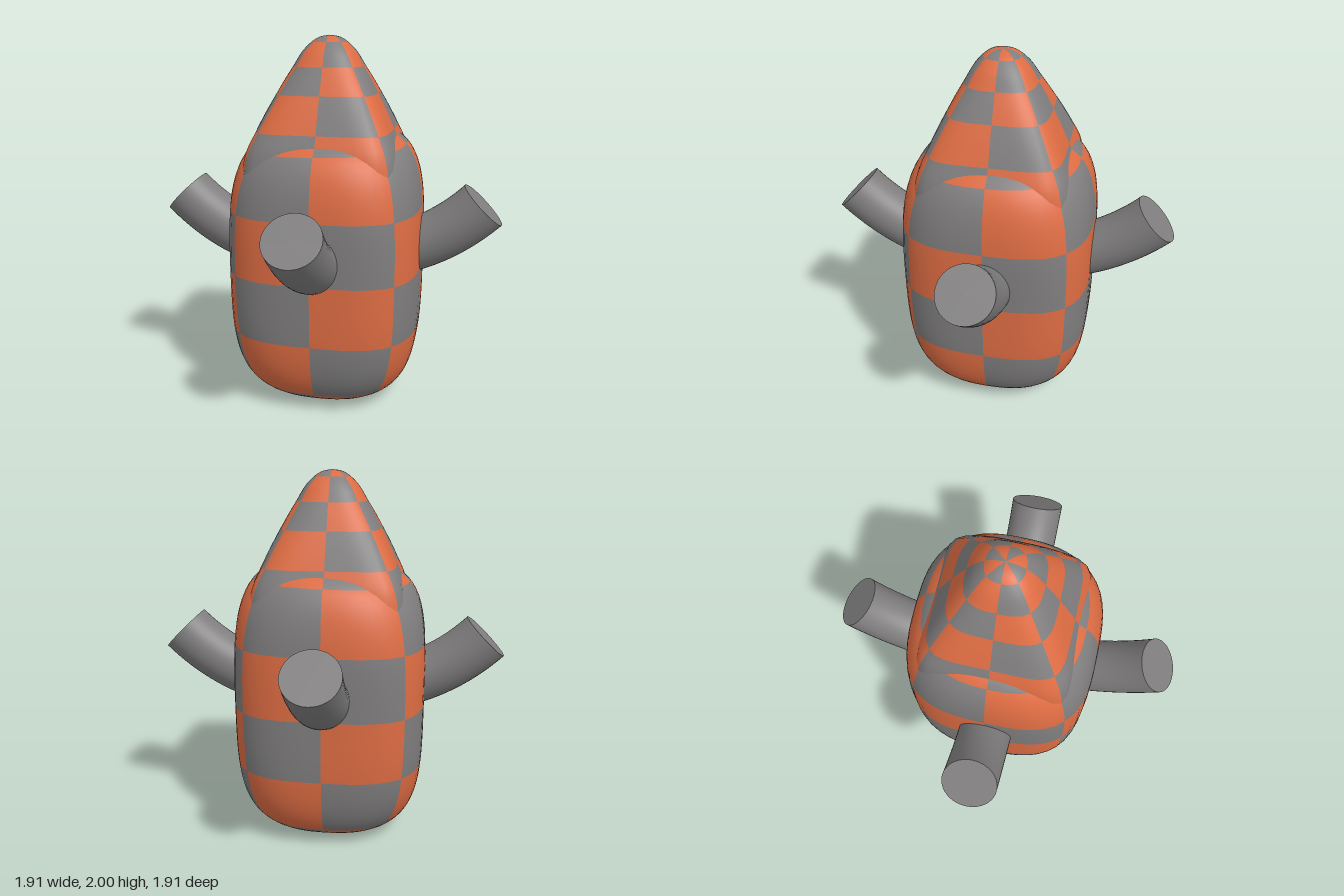
import * as THREE from 'three';

const gray = new THREE.MeshStandardMaterial({ color: 0x7f7d7e });
gray.name = 'gray';
const orange = new THREE.MeshStandardMaterial({ color: 0xdd6c43 });
orange.name = 'orange';

const SECTORS = 8;

// Closed surface with squarish cross-sections, checkered by sector and band.
// ring(t) gives { r, y, n, tilt }: half-width, height, squareness and slope for t in 0..bands.
function checkeredShell(name, ring, bands, parity, sub = 8) {
  const cols = SECTORS * sub, rows = bands * sub;
  const positions = [];
  for (let i = 0; i <= rows; i++) {
    const { r, y, n, tilt } = ring(i / sub);
    for (let j = 0; j < cols; j++) {
      const a = (j / cols) * Math.PI * 2, s = Math.sin(a), c = Math.cos(a);
      const k = r * Math.pow(Math.abs(s) ** n + Math.abs(c) ** n, -1 / n);
      positions.push(k * s, y + tilt * k * (s - c), k * c);
    }
  }
  const faces = [[], []];
  for (let i = 0; i < rows; i++) {
    for (let j = 0; j < cols; j++) {
      const color = (Math.floor(i / sub) + Math.floor(j / sub) + parity) % 2;
      const a = i * cols + j, b = i * cols + (j + 1) % cols;
      faces[color].push(a, b, b + cols, a, b + cols, a + cols);
    }
  }
  const geometry = new THREE.BufferGeometry();
  geometry.setAttribute('position', new THREE.Float32BufferAttribute(positions, 3));
  geometry.setIndex(faces[0].concat(faces[1]));
  geometry.addGroup(0, faces[0].length, 0);
  geometry.addGroup(faces[0].length, faces[1].length, 1);
  geometry.computeVertexNormals();
  const mesh = new THREE.Mesh(geometry, [gray, orange]);
  mesh.name = name;
  return mesh;
}

// Rounded-box body: a superellipse profile swept over eight bands
function bodyRing(t) {
  const angle = (t / 8 - 0.5) * Math.PI;
  const c = Math.max(0, Math.cos(angle)), s = 1.08 * Math.sin(angle);
  const k = Math.pow(c ** 4 + s ** 4, -0.25);
  const v = k * s;
  return { r: 0.525 * k * c, y: 0.76 + 0.76 * v, n: 3.3 - v * v, tilt: 0.03 * Math.max(0, v) ** 2 };
}

// Nose profile, two steps for each colour band
const noseProfile = new THREE.SplineCurve([
  [0.385, 1.16], [0.41, 1.22], [0.412, 1.3], [0.395, 1.41], [0.355, 1.51],
  [0.31, 1.61], [0.265, 1.7], [0.225, 1.775], [0.187, 1.84], [0.145, 1.912],
  [0.095, 1.965], [0.05, 1.991], [0, 2],
].map(([x, y]) => new THREE.Vector2(x, y)));

function noseRing(t) {
  const p = noseProfile.getPoint(t / 6);
  const depth = Math.min(1, Math.max(0, (2 - p.y) / 0.7));
  return { r: Math.max(0, p.x), y: p.y, n: 2.5 + 5.5 * depth ** 1.5, tilt: 0 };
}

// Bent round arm with a flat end
function makeArm() {
  const arm = new THREE.Group();
  const tip = new THREE.Vector3(0.85, 1.11, 0);
  const path = new THREE.QuadraticBezierCurve3(
    new THREE.Vector3(0.2, 0.795, 0), new THREE.Vector3(0.579, 0.839, 0), tip);
  const tube = new THREE.Mesh(new THREE.TubeGeometry(path, 24, 0.147, 40), gray);
  tube.name = 'armTube';
  const cap = new THREE.Mesh(new THREE.CircleGeometry(0.147, 40), gray);
  cap.name = 'armEnd';
  cap.position.copy(tip);
  cap.quaternion.setFromUnitVectors(new THREE.Vector3(0, 0, 1), path.getTangent(1));
  arm.add(tube, cap);
  return arm;
}

export function createModel() {
  const model = new THREE.Group();
  model.name = 'model';
  model.add(checkeredShell('body', bodyRing, 8, 0));
  model.add(checkeredShell('nose', noseRing, 6, 0));
  ['leftArm', 'backArm', 'rightArm', 'frontArm'].forEach((name, i) => {
    const arm = makeArm();
    arm.name = name;
    arm.rotation.y = i * Math.PI / 2;
    model.add(arm);
  });
  return model;
}
